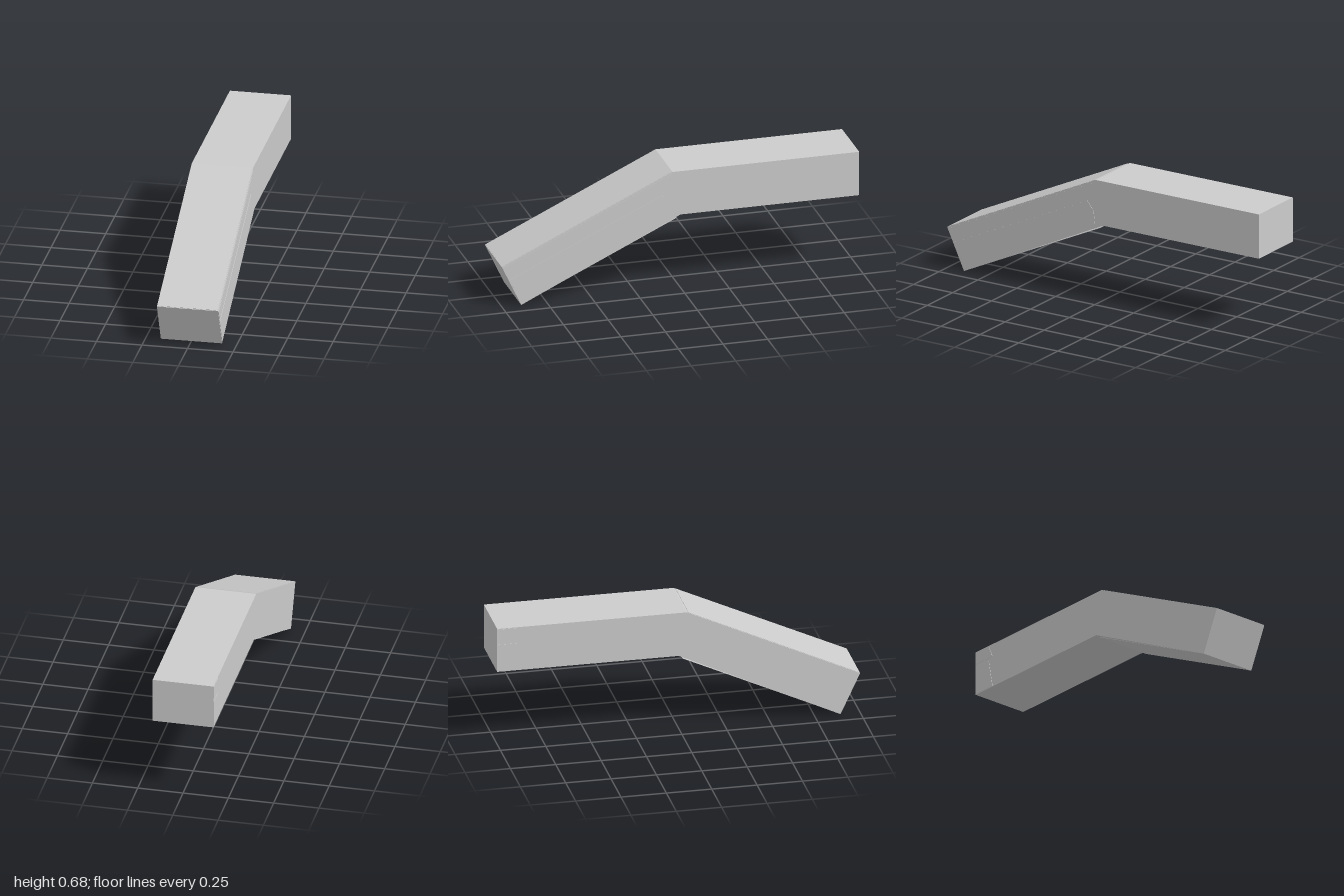
import * as THREE from 'three';

export function createModel() {
  const group = new THREE.Group();
  const grey = new THREE.MeshStandardMaterial({ color: 0xcccccc });
  grey.name = 'light grey';

  const HALF = 0.168, DEPTH = 0.255, SKIN = 0.002;
  const TOP = 0.678, BOTTOM = 0.426;

  // Prism from a side outline of [z, y] points, spanning x0 to x1
  function prism(name, outline, x0, x1) {
    const shape = new THREE.Shape(outline.map(([z, y]) => new THREE.Vector2(z, y)));
    const geo = new THREE.ExtrudeGeometry(shape, { depth: x1 - x0, bevelEnabled: false });
    geo.rotateY(-Math.PI / 2);
    geo.translate(x1, 0, 0);
    const mesh = new THREE.Mesh(geo, grey);
    mesh.name = name;
    group.add(mesh);
  }

  // Point on the sloping arm: s back along the slope, t down through its depth
  const angle = Math.atan2(TOP - 0.231, 0.955);
  const c = Math.cos(angle), n = Math.sin(angle);
  const at = (s, t) => [1 - c * s - n * t, 0.231 + n * s - c * t];
  const length = 0.955 / c;

  // Level rear beam and sloping front beam in one bent body
  prism('bentBeam', [
    [-1, BOTTOM], [0, BOTTOM], at(0, DEPTH), at(0, 0), [0.045, TOP], [-1, TOP],
  ], -HALF, HALF);

  // Thin skins on the top and underside of the slope
  prism('slopeTopPlate', [
    at(0.004, 0.001), at(0.004, -SKIN), at(length - 0.01, -SKIN), at(length - 0.01, 0.001),
  ].reverse(), -0.164, 0.164);
  prism('slopeBottomPlate', [
    at(0.004, DEPTH), at(0.004, DEPTH - 0.002), at(0.96, DEPTH - 0.002), at(0.96, DEPTH),
  ].reverse(), -0.164, 0.164);

  // Two side strips with a groove between them
  prism('upperSideStrip', [
    at(0.004, 0.008), at(0.004, 0.077), [0.045, 0.596], [0.045, TOP - 0.01],
  ], HALF - 0.001, HALF + SKIN);
  prism('lowerSideStrip', [
    at(0.004, 0.09), at(0.004, 0.247), [0.05, 0.415], [0.06, 0.5], [0.1, 0.55],
  ], HALF - 0.001, HALF + SKIN);

  // Short strips at the rear end of the opposite side
  for (const [name, y0, y1] of [['rearLowerStrip', 0.43, 0.585], ['rearUpperStrip', 0.605, 0.674]]) {
    prism(name, [[-0.998, y0], [-0.86, y0], [-0.89, y1], [-0.998, y1]], -HALF - SKIN, -HALF + 0.001);
  }

  return group;
}
